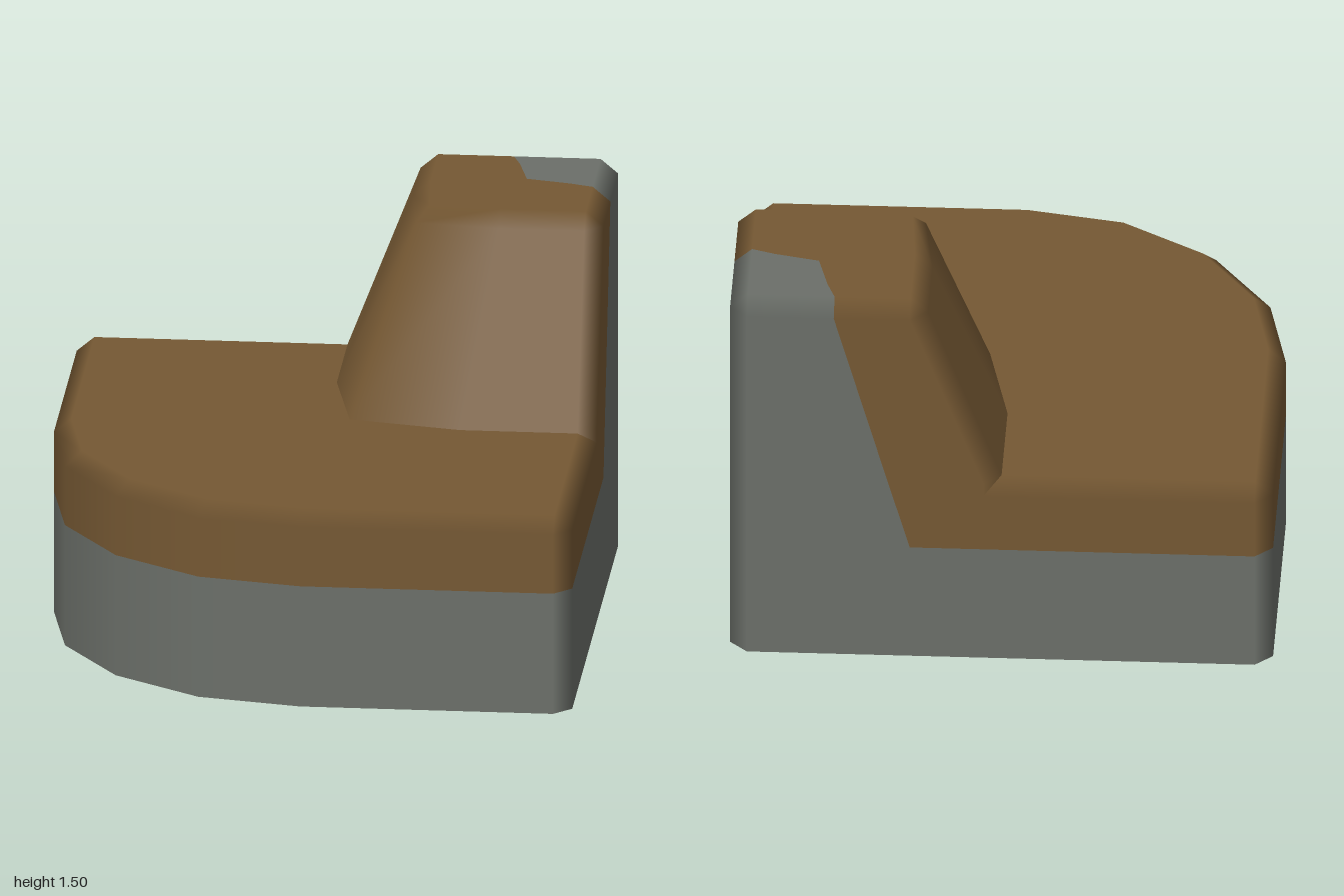
import * as THREE from 'three';

const BEVEL = 0.065, BAND = 0.467, DECK = 0.75, TOP = 1.5, DROP = 0.055, EDGE = 1 - BEVEL;

// Smooth wall between two rows of [position, normal] pairs, running counterclockwise from above
function wall(lower, upper) {
  const pos = [], nor = [], idx = [];
  for (const [p, n] of [...lower, ...upper]) {
    pos.push(...p);
    nor.push(...new THREE.Vector3(...n).normalize().toArray());
  }
  const c = lower.length;
  for (let i = 0; i < c - 1; i++) idx.push(i, i + 1, c + i + 1, i, c + i + 1, c + i);
  const g = new THREE.BufferGeometry();
  g.setAttribute('position', new THREE.Float32BufferAttribute(pos, 3));
  g.setAttribute('normal', new THREE.Float32BufferAttribute(nor, 3));
  g.setIndex(idx);
  return g;
}

// Flat horizontal face through [x, z] points, facing up or down
function cap(points, y, up = true) {
  const s = up ? -1 : 1;
  const shape = new THREE.Shape(points.map(([x, z]) => new THREE.Vector2(x, s * z)));
  return new THREE.ShapeGeometry(shape).rotateX(s * Math.PI / 2).translate(0, y, 0);
}

// Move a point inward against its horizontal normal
function inset([x, z], n) {
  const l = Math.hypot(n[0], n[2]);
  return [x - BEVEL * n[0] / l, z - BEVEL * n[2] / l];
}

const UP = [0, 1, 0];
const row = (pts, y, normal) => pts.map(([p, n]) => [[p[0], y, p[1]], normal || n]);

export function createModel() {
  const earth = new THREE.MeshStandardMaterial({ color: 0x755833 });
  earth.name = 'brown earth';
  const stone = new THREE.MeshStandardMaterial({ color: 0x6b6f69 });
  stone.name = 'grey stone';
  const model = new THREE.Group();
  model.name = 'cornerTerrainBlock';
  const add = (name, geometry, material) => {
    const mesh = new THREE.Mesh(geometry, material);
    mesh.name = name;
    model.add(mesh);
  };

  // Base outline: two bevelled corners and a rounded front corner
  const R = [1, 0, 0], L = [-1, 0, 0], F = [0, 0, 1], K = [0, 0, -1];
  const outline = [[[BEVEL, -1], K], [[-EDGE, -1], K], [[-1, -EDGE], L]];
  for (let i = 0; i <= 4; i++) {
    const a = i * Math.PI / 8, x = -Math.cos(a), z = Math.sin(a);
    outline.push([[x, z], [x, 0, z]]);
  }
  outline.push([[EDGE, 1], F], [[1, EDGE], R], [[1, -BEVEL], R]);
  const closed = [...outline, [[1, -EDGE], R], [[EDGE, -1], K], outline[0]];

  // Base: stone below, earth band, soft bevel and flat deck
  const rim = outline.map(([p, n]) => [inset(p, n), n]);
  const deck = closed.slice(0, -1).map(([p, n]) => inset(p, n));
  add('stoneBase', wall(row(closed, 0), row(closed, BAND)), stone);
  add('stoneUnderside', cap(closed.slice(0, -1).map(([p]) => p).reverse(), 0, false), stone);
  add('earthBand', wall(row(outline, BAND), row(outline, DECK - DROP)), earth);
  add('earthBevel', wall(row(outline, DECK - DROP), row(rim, DECK, UP)), earth);
  add('earthDeck', cap(deck, DECK), earth);

  // Raised corner, as [foot, deck level, shoulder, normal]; half is mirrored over the diagonal
  const T = 0.39;
  const half = [
    [[0.5, 0], [0.5, 0], [0.62, -0.27], [0, T, 1]],
    [[EDGE, 0], [EDGE, 0], [EDGE, -0.27], [0, T, 1]],
    [[1, -BEVEL], [1, -BEVEL], [1, -0.335], R],
    [[1, -0.335], [1, -0.417], [1, -0.615], R],
    [[1, -EDGE], [1, -EDGE], [1, -EDGE], R],
  ];
  const flip = ([x, z]) => [-z, -x];
  const mirrored = half.map(([a, b, c, n]) => [flip(a), flip(b), flip(c), [-n[2], n[1], -n[0]]]).reverse();
  const ridge = [[0.085, -0.085], [0.085, -0.085], [0.31, -0.31], [-Math.SQRT1_2, T, Math.SQRT1_2]];
  const earthSide = [...mirrored.slice(1), ridge, ...half.slice(0, 4)];
  const stoneSide = [...half.slice(3), ...mirrored.slice(0, 2)];

  const tops = {};
  for (const [name, side, material] of [['earth', earthSide, earth], ['stone', stoneSide, stone]]) {
    const level = k => side.map(s => [s[k], s[3]]);
    const crown = side.map(s => [inset(s[2], s[3]), s[3]]);
    tops[name] = crown.map(([p]) => p);
    add(name + 'PillarFoot', wall(row(level(0), BAND), row(level(1), DECK)), material);
    add(name + 'PillarSlope', wall(row(level(1), DECK), row(level(2), TOP - DROP)), material);
    add(name + 'PillarBevel', wall(row(level(2), TOP - DROP), row(crown, TOP, UP)), material);
  }

  // Pillar top, split along the curved stone border
  const border = [[0.645, -0.85], [0.685, -0.685], [0.85, -0.645]];
  add('stonePillarTop', cap([...tops.stone, ...border], TOP), stone);
  add('earthPillarTop', cap([...tops.earth, ...border.slice().reverse()], TOP), earth);
  return model;
}
